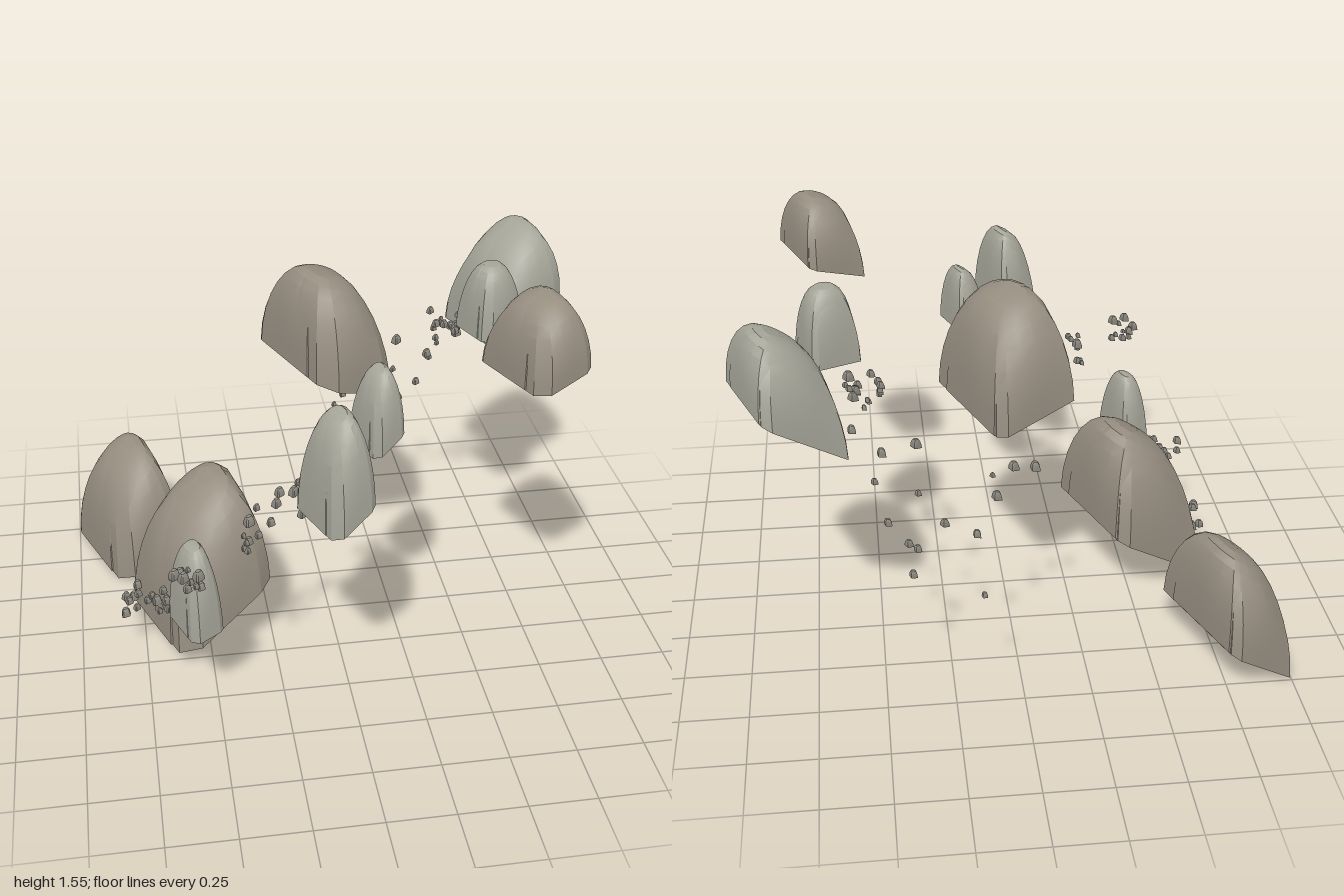
import * as THREE from 'three';
import { toCreasedNormals } from 'three/addons/utils/BufferGeometryUtils.js';

const brown = new THREE.MeshStandardMaterial({ color: 0x978e81 });
const grey = new THREE.MeshStandardMaterial({ color: 0xa5a599 });
const dark = new THREE.MeshStandardMaterial({ color: 0x8a877e });

// Chamfered block footprint in unit coordinates (across, along)
const FOOTPRINT = [[-1, -0.95], [0.8, -1], [1, -0.88], [1, 0.9], [0.72, 1], [-0.64, 1], [-1, 0.72]];

let seed = 7;
function rand() {
  seed = (seed * 16807) % 2147483647;
  return seed / 2147483647;
}

// Split each footprint edge so the dome above can round off
function outline(split) {
  const pts = [];
  FOOTPRINT.forEach((a, i) => {
    const b = FOOTPRINT[(i + 1) % FOOTPRINT.length];
    const n = Math.max(1, Math.round(split * Math.hypot(b[0] - a[0], b[1] - a[1])));
    for (let k = 0; k < n; k++) {
      pts.push([a[0] + (b[0] - a[0]) * k / n, a[1] + (b[1] - a[1]) * k / n]);
    }
  });
  return pts;
}

// Upright dome on a block footprint, sheared so its flat underside slopes across the width
function domeGeometry(w, l, h, slope, split = 2, rings = 8) {
  const base = outline(split), n = base.length;
  const pos = [], idx = [];
  const add = (u, v, t) => pos.push(u * w / 2, h * t + slope * u * w / 2, v * l / 2);
  const taper = (t, p) => Math.pow(1 - Math.pow(t, p), 1 / p);
  for (let r = 0; r < rings; r++) {
    const t = Math.sin((r / rings) * Math.PI / 2);
    const su = taper(t, 3.1), sv = taper(t, 2.6);
    for (const [u, v] of base) {
      const round = 1 + (1 / Math.max(1, Math.hypot(u, v)) - 1) * Math.pow(t, 1.5);
      add(u * su * round, v * sv * round, t);
    }
  }
  const top = rings * n, bottom = top + 1;
  add(0, 0, 1);
  add(0, 0, 0);
  for (let i = 0; i < n; i++) {
    const j = (i + 1) % n;
    for (let r = 0; r < rings - 1; r++) {
      const a = r * n + i, b = r * n + j;
      idx.push(a, a + n, b, b, a + n, b + n);
    }
    idx.push((rings - 1) * n + i, top, (rings - 1) * n + j);
    idx.push(i, j, bottom);
  }
  const g = new THREE.BufferGeometry();
  g.setAttribute('position', new THREE.Float32BufferAttribute(pos, 3));
  g.setIndex(idx);
  return toCreasedNormals(g, 0.4);
}

// name, x, y (middle of underside), z, width, length, height, slope, material
const BOULDERS = [
  ['backLeftBoulder', -0.785, 0.095, -0.56, 0.275, 0.51, 0.4, 0.7, brown],
  ['largeBoulder', -0.52, 0.19, 0.053, 0.385, 0.515, 0.475, 0.66, brown],
  ['centreBoulder', 0.022, 1.0, -0.22, 0.305, 0.54, 0.4, -0.28, brown],
  ['highBoulder', 0.667, 1.28, 0.432, 0.22, 0.365, 0.262, 0.32, brown],
  ['frontBoulder', -0.08, 0.915, 0.672, 0.16, 0.285, 0.36, 0.68, grey],
  ['smallBoulder', 0.122, 0.985, 0.332, 0.12, 0.205, 0.272, 0.7, grey],
  ['backRightBoulder', 0.8, 1.075, -0.5, 0.295, 0.415, 0.325, 0.67, grey],
  ['squareBoulder', 0.653, 1.14, -0.152, 0.18, 0.205, 0.28, 0, grey],
  ['lowBoulder', -0.567, 0.345, 0.485, 0.122, 0.225, 0.342, 0.25, grey],
];

// count, then x, y and z ranges
const CLUSTERS = [
  [26, -0.77, -0.57, 0.29, 0.43, 0.3, 0.41],
  [6, -0.83, -0.77, 0.12, 0.22, 0.05, 0.2],
  [10, -0.65, -0.55, 0.68, 0.77, 0.69, 0.82],
  [9, -0.39, -0.28, 0.7, 0.83, 0.5, 0.66],
  [8, -0.33, -0.15, 0.82, 0.96, 0.45, 0.6],
  [18, -0.11, 0.0, 0.86, 0.96, 0.29, 0.43],
  [16, 0.47, 0.6, 1.03, 1.12, -0.42, -0.25],
];

// Loose stones scattered behind
const STRAYS = [
  [-0.05, 0.87, -0.58], [0.03, 0.9, -0.62], [0.09, 0.79, -0.63], [0.1, 0.85, -0.58],
  [0.15, 0.5, -0.8], [0.16, 0.64, -0.63], [0.27, 0.66, -0.58], [0.36, 0.94, -0.5],
  [0.36, 0.78, -0.56], [0.37, 0.6, -0.64], [0.39, 0.52, -0.68], [0.4, 0.61, -0.62],
  [0.47, 0.69, -0.6], [0.48, 0.89, -0.46], [0.51, 0.83, -0.55], [0.58, 1.0, -0.48],
];

export function createModel() {
  const model = new THREE.Group();
  const turn = 0.365;

  // Floating boulders: a full mass with a shorter slab breaking through its flanks
  for (const [name, x, y, z, w, l, h, slope, material] of BOULDERS) {
    const boulder = new THREE.Group();
    boulder.name = name;
    boulder.position.set(x, y, z);
    boulder.rotation.y = turn;
    const mass = new THREE.Mesh(domeGeometry(w * 0.98, l, h, slope), material);
    mass.name = 'boulderMass';
    const slab = new THREE.Mesh(domeGeometry(w * 1.01, l * 0.82, h * 0.99, slope), material);
    slab.name = 'boulderSlab';
    slab.position.set(0, 0.003, -l * 0.06);
    boulder.add(mass, slab);
    model.add(boulder);
  }

  // Small stones drifting between the boulders
  const pebbleGeometry = domeGeometry(1, 1, 1.15, 0.2, 1, 4);
  const debris = new THREE.Group();
  debris.name = 'debris';
  const addPebble = (x, y, z) => {
    const pebble = new THREE.Mesh(pebbleGeometry, dark);
    pebble.name = 'pebble';
    pebble.position.set(x, y, z);
    pebble.rotation.y = turn + (rand() - 0.5) * 0.6;
    pebble.scale.setScalar(0.015 + 0.018 * rand());
    debris.add(pebble);
  };
  for (const [count, x0, x1, y0, y1, z0, z1] of CLUSTERS) {
    for (let i = 0; i < count; i++) {
      addPebble(x0 + (x1 - x0) * rand(), y0 + (y1 - y0) * rand(), z0 + (z1 - z0) * rand());
    }
  }
  STRAYS.forEach((p) => addPebble(...p));
  model.add(debris);
  return model;
}
